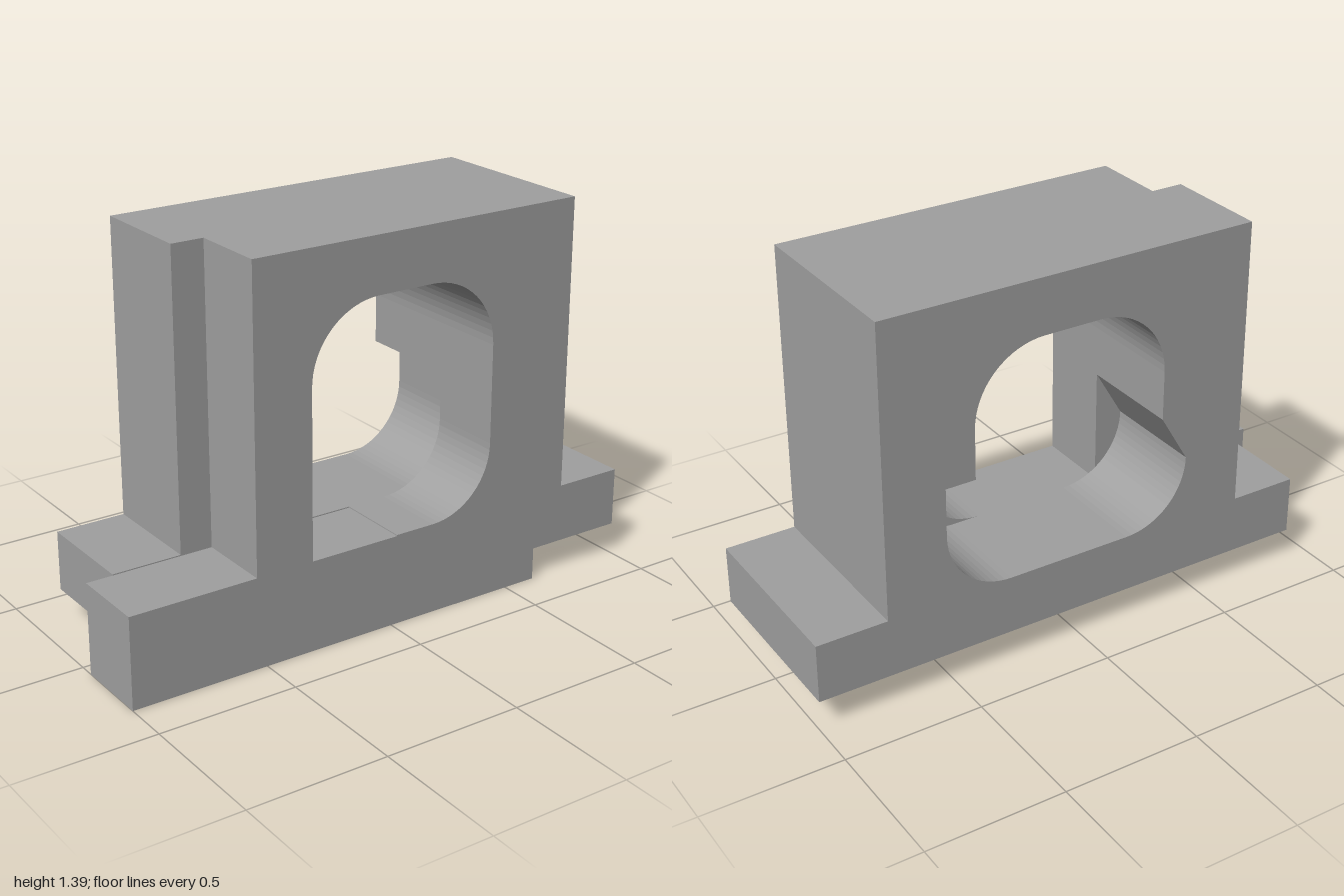
import * as THREE from 'three';

const FRONT = 0.335, SPLIT = 0.055, BACK = -0.335; // depth planes
const FLOOR = 0.333, TOP = 1.39;                   // base top, block top
const L = -0.32, R = 0.41, CEIL = 1.19;            // bore limits
const RT = 0.26, RB = 0.24;                        // bore corner radii

const outline = (points) => new THREE.Shape(points.map(([x, y]) => new THREE.Vector2(x, y)));

// Rounded top of the bore, drawn from the right wall over to the left wall
function archTop(path) {
  path.lineTo(R, CEIL - RT);
  path.absarc(R - RT, CEIL - RT, RT, 0, Math.PI / 2, false);
  path.absarc(L + RT, CEIL - RT, RT, Math.PI / 2, Math.PI, false);
}

// Front bore: square lower left corner, rounded lower right corner
function frontBore() {
  const p = new THREE.Path();
  p.moveTo(L, FLOOR - 0.004);
  p.lineTo(0.02, FLOOR - 0.004);
  p.lineTo(0.02, FLOOR);
  p.absarc(R - RB, FLOOR + RB, RB, -Math.PI / 2, 0, false);
  archTop(p);
  p.closePath();
  return p;
}

// Back bore: lower half is wider, with a ledge on each side
function backBore() {
  const p = new THREE.Path(), l = -0.425, r = 0.52, ledge = 0.75;
  p.moveTo(l, ledge);
  p.absarc(l + RB, FLOOR + RB, RB, Math.PI, Math.PI * 1.5, false);
  p.absarc(r - RB, FLOOR + RB, RB, -Math.PI / 2, 0, false);
  p.lineTo(r, ledge);
  p.lineTo(R, ledge);
  archTop(p);
  p.lineTo(L, ledge);
  p.closePath();
  return p;
}

function slab(name, shape, z0, z1, material) {
  const geometry = new THREE.ExtrudeGeometry(shape, {
    depth: z1 - z0, bevelEnabled: false, curveSegments: 8,
  });
  geometry.translate(0, 0, z0);
  const mesh = new THREE.Mesh(geometry, material);
  mesh.name = name;
  return mesh;
}

export function createModel() {
  const grey = new THREE.MeshStandardMaterial({ color: 0xa0a0a0 });
  grey.name = 'machined grey';

  // Front half carries the lower rail and the longer left foot
  const front = outline([
    [-1, 0], [0.625, 0], [0.625, 0.118], [1, 0.118], [1, FLOOR], [0.743, FLOOR],
    [0.743, TOP], [-0.535, TOP], [-0.535, FLOOR - 0.004], [-1, FLOOR - 0.004],
  ]);
  front.holes.push(frontBore());

  // Back half has a wider tower and a raised underside
  const back = outline([
    [-0.905, 0.118], [1, 0.118], [1, FLOOR], [0.743, FLOOR],
    [0.743, TOP], [-0.653, TOP], [-0.653, FLOOR], [-0.905, FLOOR],
  ]);
  back.holes.push(backBore());

  const model = new THREE.Group();
  model.name = 'bearing block';
  model.add(slab('frontHalf', front, SPLIT, FRONT, grey));
  model.add(slab('backHalf', back, BACK, SPLIT, grey));
  return model;
}
